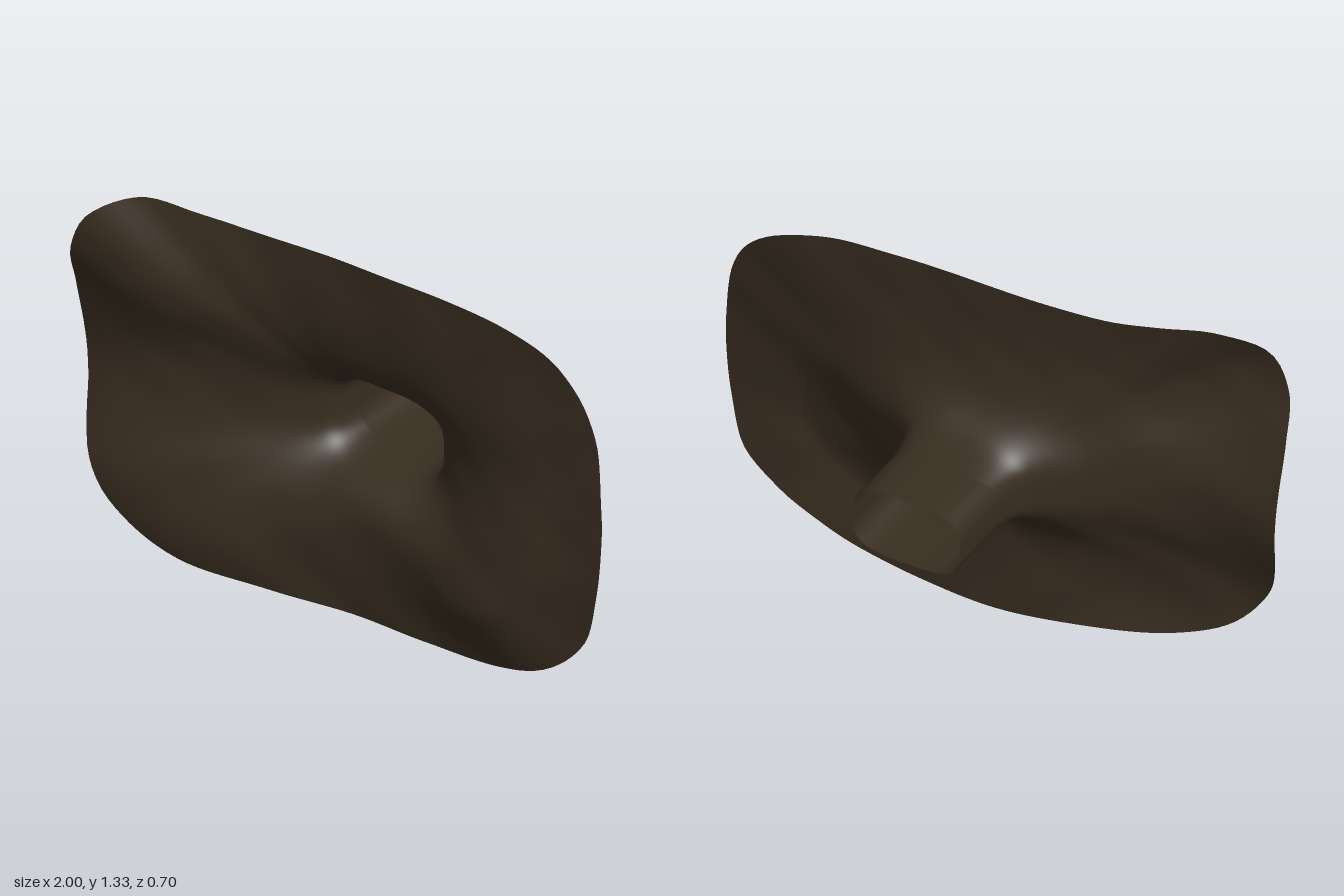
import * as THREE from 'three';

const SEG = 160;          // points around each loop
const PLATE = 48;         // loops from rim to neck
const TUBE = 8;           // loops along the tube
const HOLE = { x: 0.021, y: 0.626, rx: 0.198, ry: 0.125, back: -0.355 };

// Wavy outer rim, anticlockwise seen from the front
const rim = new THREE.CatmullRomCurve3([
  [1, 0.65, 0.19], [0.985, 0.88, 0.175], [0.925, 1.07, 0.15], [0.8, 1.19, 0.13],
  [0.6, 1.265, 0.13], [0.35, 1.29, 0.13], [0, 1.295, 0.135], [-0.4, 1.297, 0.16],
  [-0.58, 1.313, 0.2], [-0.77, 1.33, 0.25], [-0.92, 1.25, 0.335], [-0.98, 1.12, 0.34],
  [-1, 0.95, 0.29], [-0.995, 0.78, 0.25], [-0.985, 0.6, 0.245], [-0.97, 0.45, 0.27],
  [-0.92, 0.3, 0.305], [-0.8, 0.15, 0.295], [-0.6, 0.05, 0.265], [-0.3, 0.012, 0.19],
  [0, 0.003, 0.145], [0.3, 0.01, 0.15], [0.6, 0.045, 0.185], [0.8, 0.12, 0.195],
  [0.93, 0.25, 0.185], [0.985, 0.45, 0.195],
].map(p => new THREE.Vector3(...p)), true);

// Rounded rectangular opening, as a superellipse
function holePoint(a) {
  const c = Math.cos(a), s = Math.sin(a), e = 2 / 3.4;
  return [
    HOLE.x + HOLE.rx * Math.sign(c) * Math.abs(c) ** e,
    HOLE.y + HOLE.ry * Math.sign(s) * Math.abs(s) ** e,
  ];
}

const bump = (x, y, cx, cy, r) => Math.exp(-((x - cx) ** 2 + (y - cy) ** 2) / (r * r));

// Soft uneven folds over the sheet
function folds(x, y) {
  return 0.005 * Math.sin(7 * x + 3 * Math.sin(4 * y)) * Math.sin(8 * y + 2 * Math.sin(3 * x))
    + 0.002 * Math.sin(19 * x + 2 * Math.sin(9 * y)) * Math.sin(17 * y);
}

// How far the neck sinks at distance d from the opening: wide at the sides,
// steeper above, steepest underneath, with a tight bend into the tube
function neck(d, s) {
  const [amp, width] = s < 0 ? [0.17, 0.05] : [0.2, 0.1];
  const q = s * s;
  return THREE.MathUtils.lerp(0.17, amp, q) * Math.exp(-d / THREE.MathUtils.lerp(0.22, width, q))
    + 0.1 * Math.exp(-d / 0.012);
}

function sheetGeometry() {
  const pos = [], index = [];
  const rimPoints = rim.getSpacedPoints(SEG);
  for (let j = 0; j <= PLATE + TUBE; j++) {
    for (let i = 0; i < SEG; i++) {
      const p = rimPoints[i];
      const a = Math.atan2((p.y - HOLE.y) / 0.65, p.x - HOLE.x);
      const [hx, hy] = holePoint(a);
      // loops crowd together towards the neck
      const k = (1 - Math.min(j / PLATE, 1)) ** 2.2;
      const x = hx + (p.x - hx) * k, y = hy + (p.y - hy) * k;
      const d = Math.hypot(x - hx, y - hy);
      // plate depth, swelling forward on both lower sides
      const m = THREE.MathUtils.smoothstep(1 - k, 0, 0.95);
      let z = p.z + (0.155 - p.z) * m;
      z += 0.07 * bump(x, y, 0.6, 0.36, 0.32) * Math.min(1, 3 * (1 - k));
      z += 0.02 * bump(x, y, -0.6, 0.4, 0.3);
      z += folds(x, y) * Math.min(1, d / 0.2);
      z -= neck(d, Math.sin(a));
      // straight tube
      if (j > PLATE) z += (HOLE.back - z) * (j - PLATE) / TUBE;
      pos.push(x, y, z);
    }
  }
  for (let j = 0; j < PLATE + TUBE; j++) {
    for (let i = 0; i < SEG; i++) {
      const n = (i + 1) % SEG;
      const a = j * SEG + i, b = j * SEG + n, c = a + SEG, e = b + SEG;
      index.push(a, b, c, b, e, c);
    }
  }
  const g = new THREE.BufferGeometry();
  g.setAttribute('position', new THREE.Float32BufferAttribute(pos, 3));
  g.setIndex(index);
  g.computeVertexNormals();
  return g;
}

export function createModel() {
  const group = new THREE.Group();
  group.name = 'flaredTunnel';
  const material = new THREE.MeshStandardMaterial({ color: 0x382d20, side: THREE.DoubleSide });
  const sheet = new THREE.Mesh(sheetGeometry(), material);
  sheet.name = 'flaredSheetWithTube';
  group.add(sheet);
  return group;
}
